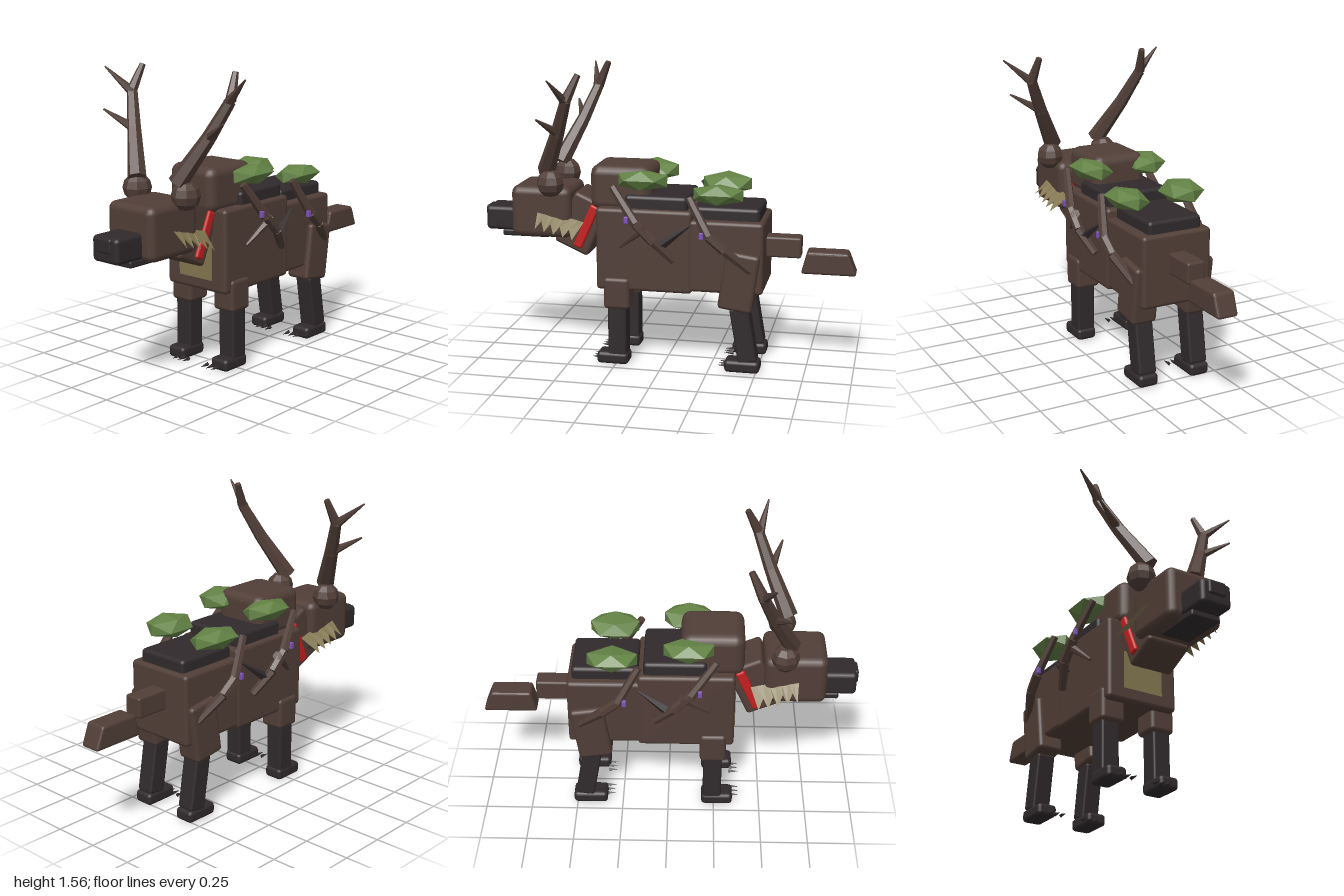
import * as THREE from 'three';
import { RoundedBoxGeometry } from 'three/addons/geometries/RoundedBoxGeometry.js';

const mat = (name, color, extra = {}) => Object.assign(new THREE.MeshStandardMaterial({ color, ...extra }), { name });

export function createModel() {
  const bark = mat('bark brown', 0x513e37);
  const barkFlat = mat('bark brown', 0x513e37, { flatShading: true });
  const dark = mat('charcoal', 0x302a2c);
  const darkFlat = mat('charcoal', 0x302a2c, { flatShading: true });
  const green = mat('leaf green', 0x638245, { flatShading: true });
  const tan = mat('tan fur', 0x827650, { flatShading: true, side: THREE.DoubleSide });
  const red = mat('collar red', 0xc4201f);
  const purple = mat('gem purple', 0x7d52b8);
  const model = new THREE.Group();
  model.name = 'forestBeast';

  const add = (name, geometry, material, pos = [0, 0, 0], parent = model) => {
    const m = new THREE.Mesh(geometry, material);
    m.name = name;
    m.position.set(...pos);
    parent.add(m);
    return m;
  };
  // Bevelled box: size, centre, tilt about x
  const box = (name, size, pos, material, { tilt = 0, bevel = 0.02, parent = model } = {}) => {
    const r = Math.min(bevel, Math.min(...size) * 0.45);
    const m = add(name, new RoundedBoxGeometry(...size, 2, r), material, pos, parent);
    m.rotation.x = tilt;
    return m;
  };
  // Tapered stick between two points
  const stick = (name, a, b, r0, r1, material, parent, sides = 6) => {
    const p = new THREE.Vector3(...a), q = new THREE.Vector3(...b);
    const d = q.clone().sub(p);
    const m = add(name, new THREE.CylinderGeometry(r1, r0, d.length(), sides), material,
      p.clone().add(q).multiplyScalar(0.5).toArray(), parent);
    m.quaternion.setFromUnitVectors(new THREE.Vector3(0, 1, 0), d.normalize());
    return m;
  };
  // Chain of tapered sticks through points
  const limb = (name, pts, radii, material, parent) => {
    for (let i = 0; i < pts.length - 1; i++) stick(name, pts[i], pts[i + 1], radii[i], radii[i + 1], material, parent);
  };

  // Body
  box('frontTorso', [0.4, 0.44, 0.51], [0, 0.637, 0.095], bark);
  box('rearTorso', [0.39, 0.38, 0.42], [0, 0.62, -0.32], bark);
  box('frontBackPlate', [0.35, 0.1, 0.33], [0, 0.875, 0.035], dark);
  box('rearBackPlate', [0.3, 0.1, 0.35], [0, 0.825, -0.33], dark);
  box('shoulderHump', [0.3, 0.24, 0.33], [0, 0.95, 0.23], bark, { bevel: 0.05 });
  add('chestFur', new THREE.BoxGeometry(0.22, 0.2, 0.008), tan, [0, 0.58, 0.352]);
  box('tailBase', [0.1, 0.11, 0.24], [0, 0.655, -0.59], bark, { bevel: 0.012 });

  // Tail tip, narrower along its top
  const tailTip = box('tailTip', [0.116, 0.12, 0.29], [0, 0.58, -0.855], bark, { bevel: 0.015 });
  const tp = tailTip.geometry.attributes.position;
  for (let i = 0; i < tp.count; i++) {
    const k = (tp.getY(i) + 0.06) / 0.12;
    tp.setZ(i, tp.getZ(i) * (1 - 0.27 * k) + 0.008 * k);
  }
  tailTip.geometry.computeVertexNormals();

  // Neck, collar and head
  box('neck', [0.24, 0.3, 0.2], [0, 0.745, 0.45], bark, { tilt: -0.42 });
  box('collar', [0.272, 0.25, 0.05], [0, 0.735, 0.42], red, { tilt: -0.42, bevel: 0.012 });
  box('head', [0.31, 0.275, 0.33], [0, 0.805, 0.662], bark, { bevel: 0.04 });
  box('snout', [0.174, 0.13, 0.2], [0, 0.748, 0.89], dark, { bevel: 0.022 });
  box('jaw', [0.165, 0.035, 0.26], [0, 0.67, 0.77], dark, { bevel: 0.01 });
  box('nose', [0.1, 0.075, 0.04], [0, 0.772, 0.98], dark, { bevel: 0.012 });

  // Jagged cheek fur: inner edge on the head, zigzag outer edge
  const cheekGeometry = () => {
    const pos = [], index = [], n = 8;
    for (let i = 0; i <= n; i++) {
      const t = i / n, tip = i % 2 === 0 ? 1 : 0;
      pos.push(0.135, 0.825 - 0.065 * t, 0.68 - 0.25 * t);
      pos.push(0.195 + 0.04 * tip, 0.775 - 0.05 * t - 0.04 * tip, 0.67 - 0.2 * t);
      if (i < n) index.push(2 * i, 2 * i + 1, 2 * i + 2, 2 * i + 1, 2 * i + 3, 2 * i + 2);
    }
    const g = new THREE.BufferGeometry();
    g.setAttribute('position', new THREE.Float32BufferAttribute(pos, 3));
    g.setIndex(index);
    g.computeVertexNormals();
    return g;
  };

  for (const s of [1, -1]) {
    const side = s > 0 ? 'left' : 'right';
    const group = (name) => {
      const g = new THREE.Group();
      g.name = side + name;
      model.add(g);
      return g;
    };
    const P = (x, y, z) => [s * x, y, z];

    // Cheek fur, mirrored by rule
    const cheek = add(side + 'CheekFur', cheekGeometry(), tan);
    if (s < 0) {
      cheek.geometry.scale(-1, 1, 1);
      cheek.geometry.index.array.reverse();
      cheek.geometry.computeVertexNormals();
    }

    // Antler with two prongs
    const antler = group('Antler');
    add('antlerBase', new THREE.SphereGeometry(0.074, 8, 6), barkFlat, P(0.165, 0.97, 0.6), antler);
    limb('antlerStem', [P(0.135, 1.03, 0.63), P(0.25, 1.25, 0.53), P(0.33, 1.43, 0.46), P(0.31, 1.56, 0.4)],
      [0.048, 0.036, 0.028, 0.016], barkFlat, antler);
    stick('lowerProng', P(0.25, 1.25, 0.53), P(0.4, 1.34, 0.595), 0.026, 0.005, barkFlat, antler);
    stick('upperProng', P(0.32, 1.42, 0.465), P(0.468, 1.545, 0.515), 0.026, 0.004, barkFlat, antler);

    // Front leg
    const front = group('FrontLeg');
    box('upperLeg', [0.135, 0.17, 0.14], P(0.145, 0.4, 0.24), bark, { parent: front });
    box('lowerLeg', [0.1, 0.3, 0.1], P(0.15, 0.2, 0.24), dark, { parent: front, bevel: 0.012 });
    box('foot', [0.11, 0.065, 0.17], P(0.15, 0.037, 0.267), dark, { parent: front });

    // Rear leg
    const rear = group('RearLeg');
    box('thigh', [0.14, 0.31, 0.18], P(0.155, 0.5, -0.408), bark, { parent: rear, tilt: -0.14 });
    box('lowerLeg', [0.1, 0.3, 0.1], P(0.15, 0.21, -0.432), dark, { parent: rear, tilt: 0.17, bevel: 0.012 });
    box('foot', [0.11, 0.065, 0.185], P(0.15, 0.037, -0.427), dark, { parent: rear });

    // Claws
    for (const [leg, z] of [[front, 0.34], [rear, -0.345]]) {
      for (let i = 0; i < 3; i++) {
        const x = 0.066 + i * 0.034;
        stick('claw', P(x, 0.02, z), P(x, 0.018, z + 0.05), 0.011, 0.001, darkFlat, leg, 4);
      }
    }

    // Branches growing over the flanks
    const branches = group('FlankBranches');
    limb('frontBranch', [P(0.23, 0.98, 0.25), P(0.272, 0.8, 0.12), P(0.27, 0.71, 0.03), P(0.225, 0.6, -0.07)],
      [0.02, 0.026, 0.026, 0.02], barkFlat, branches);
    limb('rearBranch', [P(0.23, 0.94, -0.15), P(0.272, 0.75, -0.26), P(0.265, 0.68, -0.34), P(0.21, 0.56, -0.47)],
      [0.02, 0.026, 0.026, 0.02], barkFlat, branches);
    stick('crossTwig', P(0.225, 0.66, 0.215), P(0.27, 0.785, 0.07), 0.008, 0.026, barkFlat, branches);
    const spike = stick('darkLeaf', P(0.25, 0.68, 0), P(0.225, 0.79, -0.155), 0.045, 0.006, darkFlat, branches, 4);
    spike.scale.set(0.6, 1, 0.6);
    box('frontGem', [0.02, 0.035, 0.022], P(0.285, 0.82, 0.165), purple, { parent: branches, bevel: 0.004 });
    box('rearGem', [0.02, 0.035, 0.022], P(0.285, 0.755, -0.225), purple, { parent: branches, bevel: 0.004 });

    // Leaf clumps
    for (const [name, y, z] of [['FrontLeaves', 1.005, 0.105], ['RearLeaves', 0.945, -0.29]]) {
      const leaf = add(side + name, new THREE.IcosahedronGeometry(1, 0), green, P(0.158, y, z));
      leaf.scale.set(0.108, 0.058, 0.152);
      leaf.rotation.z = s * 0.12;
    }
  }
  return model;
}
